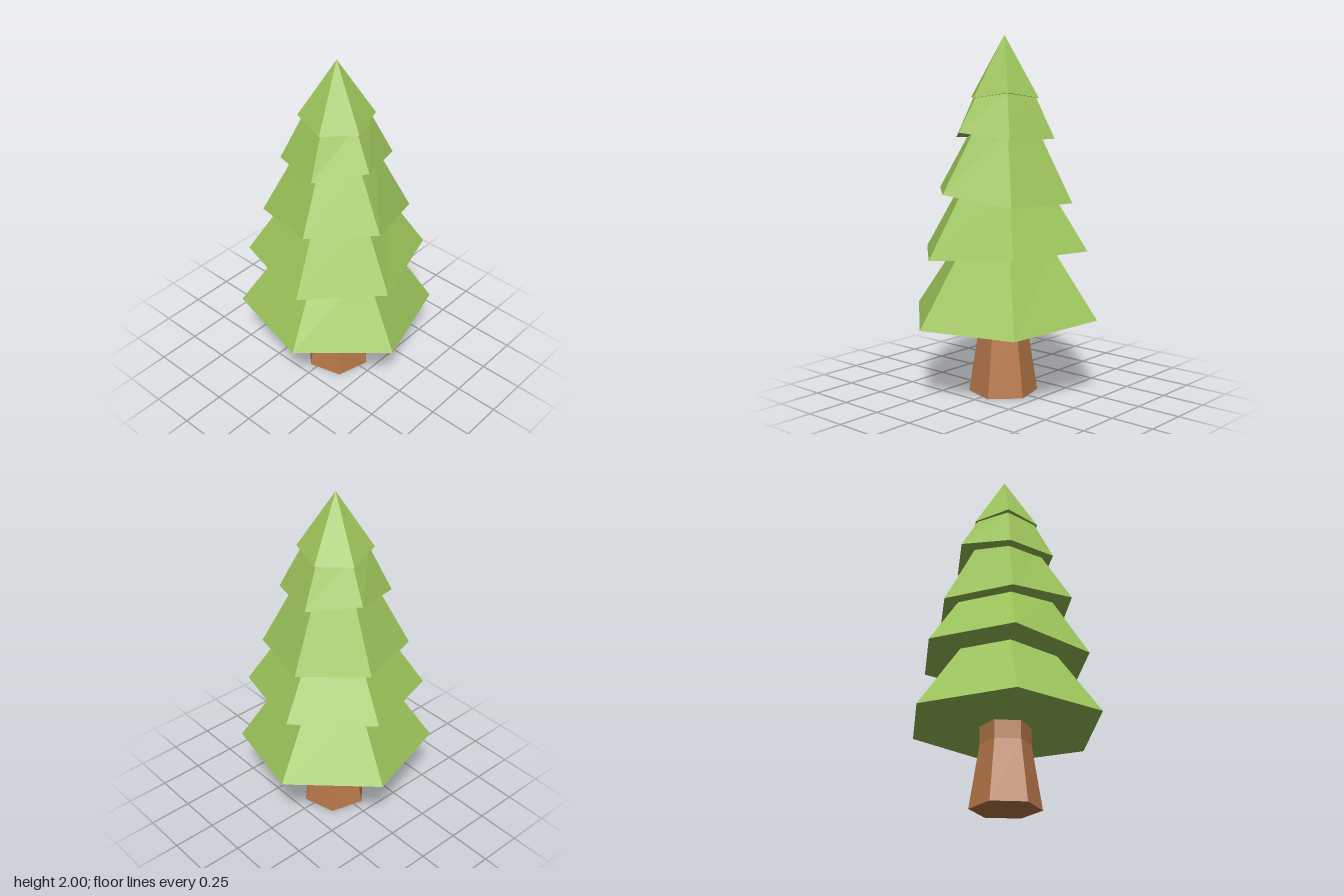
import * as THREE from 'three';

// Closed six-sided loft. Each ring: { r, y } where y is a number or six corner heights.
function hexLoft(rings, startAngle) {
  const pos = [];
  const corner = (ring, i) => {
    const k = i % 6;
    const a = startAngle + k * Math.PI / 3;
    const y = Array.isArray(ring.y) ? ring.y[k] : ring.y;
    return [ring.r * Math.cos(a), y, ring.r * Math.sin(a)];
  };
  const centre = (ring) => {
    const y = Array.isArray(ring.y) ? ring.y.reduce((s, v) => s + v, 0) / 6 : ring.y;
    return [0, y, 0];
  };
  const first = rings[0], last = rings[rings.length - 1];
  for (let i = 0; i < 6; i++) {
    // sides
    for (let j = 0; j < rings.length - 1; j++) {
      const a = corner(rings[j], i), b = corner(rings[j], i + 1);
      const c = corner(rings[j + 1], i + 1), d = corner(rings[j + 1], i);
      pos.push(...a, ...d, ...b);
      if (rings[j + 1].r > 0) pos.push(...b, ...d, ...c);
    }
    // underside and top
    pos.push(...centre(first), ...corner(first, i), ...corner(first, i + 1));
    if (last.r > 0) pos.push(...centre(last), ...corner(last, i + 1), ...corner(last, i));
  }
  const geometry = new THREE.BufferGeometry();
  geometry.setAttribute('position', new THREE.Float32BufferAttribute(pos, 3));
  geometry.computeVertexNormals();
  return geometry;
}

export function createModel() {
  const tree = new THREE.Group();
  tree.name = 'pineTree';
  const leaf = new THREE.MeshStandardMaterial({ color: 0x9cc45a, flatShading: true });
  const bark = new THREE.MeshStandardMaterial({ color: 0xb8784a, flatShading: true });

  // Trunk: flared foot, straight upper part running into the foliage
  const trunk = new THREE.Mesh(hexLoft([
    { r: 0.195, y: 0 }, { r: 0.14, y: 0.35 }, { r: 0.14, y: 0.6 },
  ], Math.PI / 12 * 3), bark);
  trunk.name = 'trunk';
  trunk.position.x = 0.01;
  tree.add(trunk);

  // Foliage tiers, with uneven rims; each top tucks into the tier above
  const tiers = [
    { r: 0.555, rim: [0.425, 0.46, 0.46, 0.46, 0.46, 0.425], topR: 0.29, top: 0.84 },
    { r: 0.495, rim: [0.80, 0.80, 0.838, 0.838, 0.838, 0.838], topR: 0.285, top: 1.15 },
    { r: 0.405, rim: [1.148, 1.148, 1.103, 1.103, 1.095, 1.095], topR: 0.205, top: 1.48 },
    { r: 0.30, rim: [1.477, 1.434, 1.434, 1.477, 1.44, 1.445], topR: 0.175, top: 1.69 },
    { r: 0.205, rim: [1.66, 1.66, 1.69, 1.66, 1.66, 1.69], topR: 0, top: 2 },
  ];
  tiers.forEach((t, i) => {
    const tier = new THREE.Mesh(hexLoft([
      { r: t.r, y: t.rim }, { r: t.topR, y: t.top },
    ], THREE.MathUtils.degToRad(13.7)), leaf);
    tier.name = `foliageTier${i + 1}`;
    tree.add(tier);
  });
  return tree;
}
